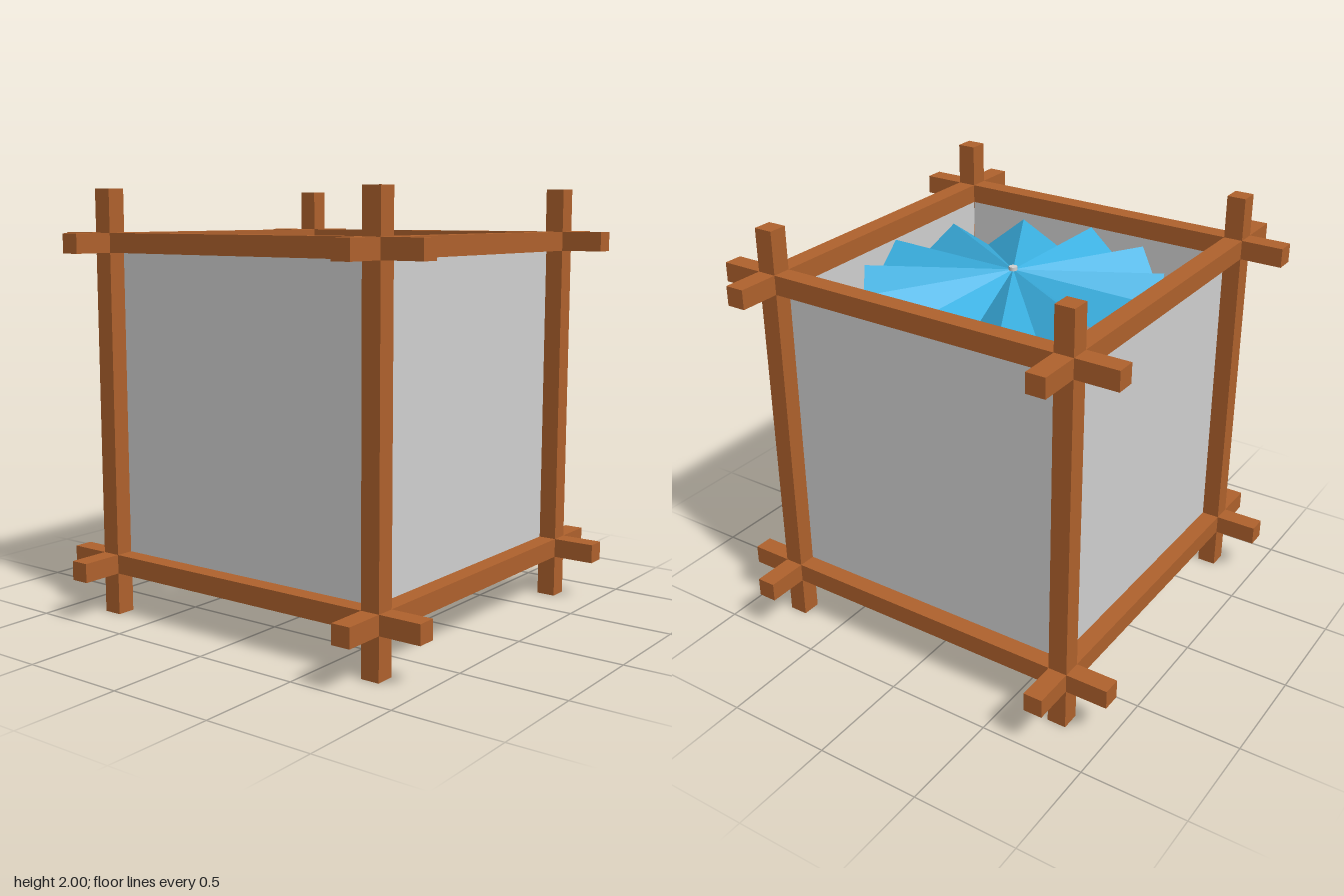
import * as THREE from 'three';

const wood = new THREE.MeshStandardMaterial({ color: 0xb0622d });
wood.name = 'warm wood';
const paper = new THREE.MeshStandardMaterial({ color: 0xd2d2d2, side: THREE.DoubleSide });
paper.name = 'pale paper';
const blue = new THREE.MeshStandardMaterial({ color: 0x3aafe0, side: THREE.DoubleSide, flatShading: true });
blue.name = 'blue pleats';

const OFFSET = 0.755;  // beam centre line from the middle of the cube
const BEAM = 0.09;
const MID = 1;         // height of the cube's middle

function add(parent, name, geometry, material, x = 0, y = 0, z = 0) {
  const mesh = new THREE.Mesh(geometry, material);
  mesh.name = name;
  mesh.position.set(x, y, z);
  parent.add(mesh);
  return mesh;
}

// Pleated round fan: ridges run level to the rim, the folds between drop inwards.
// up is 1 for ridges facing up and -1 for ridges facing down.
function pleatedFan(radius, folds, depth, up) {
  const rim = (k) => {
    const a = THREE.MathUtils.degToRad(1.1) + (k / folds) * Math.PI * 2;
    return [radius * Math.sin(a), k % 2 ? -depth * up : 0, -radius * Math.cos(a)];
  };
  const points = [];
  for (let k = 0; k < folds; k++) {
    const a = rim(k), b = rim((k + 1) % folds);
    points.push(0, 0, 0, ...(up > 0 ? [...b, ...a] : [...a, ...b]));
  }
  const geometry = new THREE.BufferGeometry();
  geometry.setAttribute('position', new THREE.Float32BufferAttribute(points, 3));
  geometry.computeVertexNormals();
  return geometry;
}

export function createModel() {
  const model = new THREE.Group();
  model.name = 'lantern';

  // Frame: four crossing beams along each axis
  const frame = new THREE.Group();
  frame.name = 'frame';
  model.add(frame);
  for (const a of [-OFFSET, OFFSET]) {
    for (const b of [-OFFSET, OFFSET]) {
      add(frame, 'post', new THREE.BoxGeometry(BEAM, 2, BEAM), wood, a, MID, b);
      add(frame, 'crossBeam', new THREE.BoxGeometry(2, BEAM, BEAM), wood, 0, MID + a, b);
      add(frame, 'sideBeam', new THREE.BoxGeometry(BEAM, BEAM, 2), wood, a, MID + b, 0);
    }
  }

  // Four paper walls on the inner side of the beams
  const inner = OFFSET - BEAM / 2;
  for (let i = 0; i < 4; i++) {
    const angle = (i * Math.PI) / 2;
    const wall = add(model, 'wallPanel', new THREE.BoxGeometry(inner * 2 + 0.01, inner * 2 + 0.01, 0.004),
      paper, Math.sin(angle) * (inner + 0.003), MID, Math.cos(angle) * (inner + 0.003));
    wall.rotation.y = angle;
  }

  // Pleated fans closing the top and bottom, joined by a thin rod
  add(model, 'topFan', pleatedFan(0.684, 24, 0.13, 1), blue, 0, 1.72, 0);
  add(model, 'bottomFan', pleatedFan(0.684, 24, 0.13, -1), blue, 0, 0.31, 0);
  add(model, 'centreRod', new THREE.CylinderGeometry(0.02, 0.02, 1.44, 12), paper, 0, 1.015, 0);

  return model;
}
